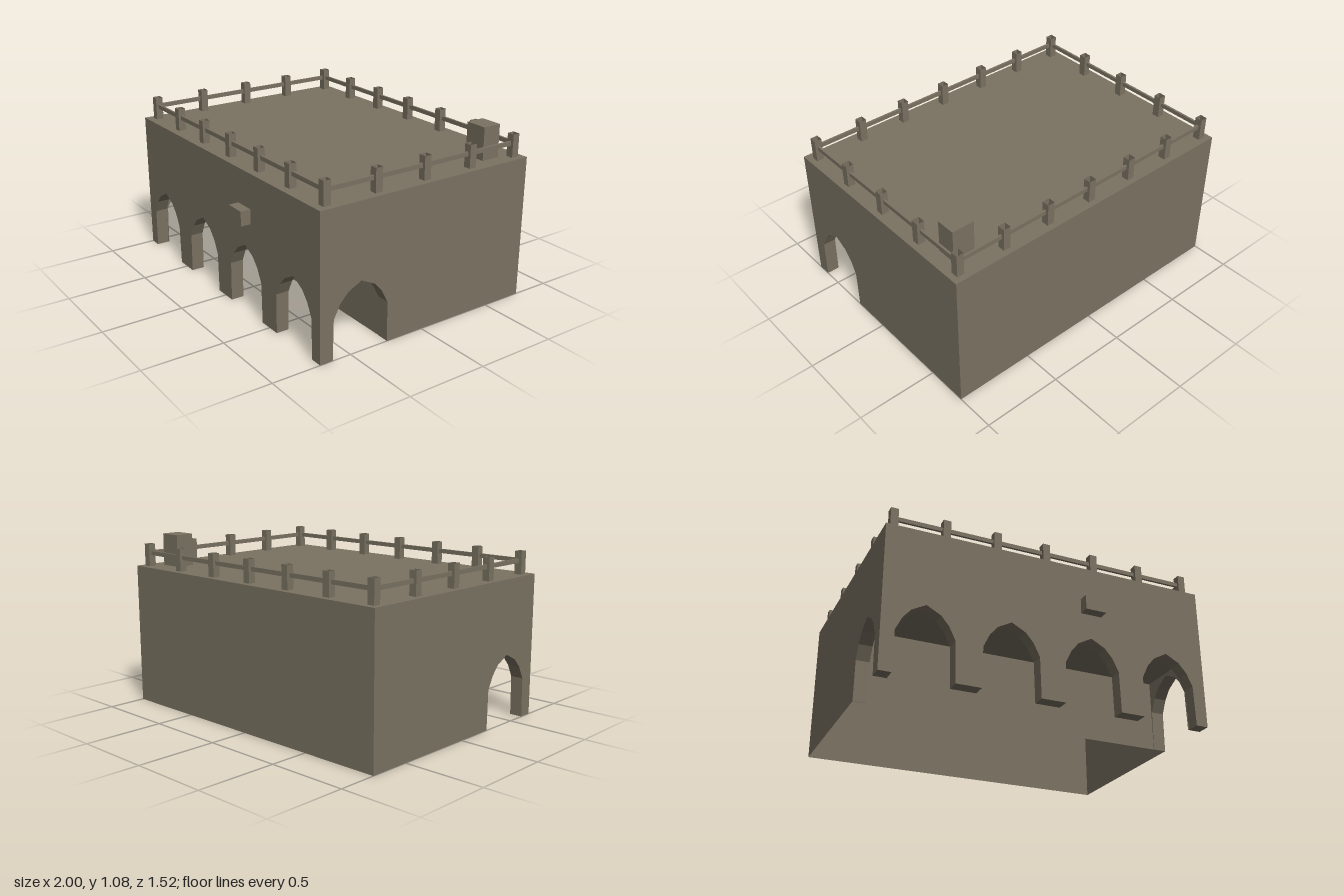
import * as THREE from 'three';

const TOP = 0.88, MID = 0.44, FRONT = 0.7, BACK = -0.76, INNER = 0.245, THICK = 0.08;

const stone = new THREE.MeshStandardMaterial({ color: 0x7b7362, side: THREE.DoubleSide });
stone.name = 'stone';

function add(parent, name, geometry, x = 0, y = 0, z = 0) {
  const mesh = new THREE.Mesh(geometry, stone);
  mesh.name = name;
  mesh.position.set(x, y, z);
  parent.add(mesh);
  return mesh;
}

// Box given by its limits on each axis
function addBox(parent, name, [x0, x1], [y0, y1], [z0, z1]) {
  return add(parent, name, new THREE.BoxGeometry(x1 - x0, y1 - y0, z1 - z0),
    (x0 + x1) / 2, (y0 + y1) / 2, (z0 + z1) / 2);
}

// Wall outline from a to b with pointed arches cut up from the ground
function archedShape(a, b, centres, half) {
  const profile = [[-1, 0], [-0.97, 0.245], [-0.75, 0.325], [-0.48, 0.38], [0, 0.425],
    [0.48, 0.38], [0.75, 0.325], [0.97, 0.245], [1, 0]];
  const points = [[a, 0]];
  for (const c of centres) for (const [u, v] of profile) points.push([c + u * half, v]);
  points.push([b, 0], [b, MID], [a, MID]);
  return new THREE.Shape(points.map(([x, y]) => new THREE.Vector2(x, y)));
}

function extrude(shape) {
  return new THREE.ExtrudeGeometry(shape, { depth: THICK, bevelEnabled: false });
}

export function createModel() {
  const model = new THREE.Group();
  model.name = 'arcadedHouse';

  // Thin outer shell, open underneath
  const shell = new THREE.Group();
  shell.name = 'shell';
  model.add(shell);
  const depth = FRONT - BACK, midZ = (FRONT + BACK) / 2;
  add(shell, 'roof', new THREE.PlaneGeometry(2, depth).rotateX(-Math.PI / 2), 0, TOP, midZ);
  add(shell, 'frontWall', new THREE.PlaneGeometry(2, TOP - MID), 0, (TOP + MID) / 2, FRONT);
  add(shell, 'backWall', new THREE.PlaneGeometry(2, TOP).rotateY(Math.PI), 0, TOP / 2, BACK);
  add(shell, 'innerWall', new THREE.PlaneGeometry(2, MID), 0, MID / 2, INNER);
  add(shell, 'arcadeCeiling', new THREE.PlaneGeometry(2, FRONT - INNER).rotateX(Math.PI / 2),
    0, MID, (FRONT + INNER) / 2);
  const side = new THREE.Shape([[BACK, 0], [INNER, 0], [INNER, MID], [FRONT, MID], [FRONT, TOP], [BACK, TOP]]
    .map(([z, y]) => new THREE.Vector2(z, y)));
  add(shell, 'rightWall', new THREE.ShapeGeometry(side).rotateY(-Math.PI / 2), -1);
  add(shell, 'leftWall', new THREE.ShapeGeometry(side).rotateY(-Math.PI / 2), 1);

  // Arcade: four arches in front, one at each end
  const arcade = new THREE.Group();
  arcade.name = 'arcade';
  model.add(arcade);
  add(arcade, 'frontArches', extrude(archedShape(-1, 1, [-0.75, -0.25, 0.25, 0.75], 0.175)), 0, 0, FRONT - THICK);
  const endZ = FRONT - THICK;
  for (const [name, x] of [['rightArch', -1 + THICK], ['leftArch', 1]]) {
    const shape = archedShape(INNER, endZ, [(INNER + endZ) / 2], (endZ - INNER) / 2 - 0.002);
    add(arcade, name, extrude(shape).rotateY(-Math.PI / 2), x);
  }

  // Railing: hollow square posts joined by rails
  const railing = new THREE.Group();
  railing.name = 'railing';
  model.add(railing);
  const X = 0.94, Z0 = -0.7, Z1 = 0.63;
  const postGeometry = new THREE.CylinderGeometry(0.0325, 0.0325, 0.17, 4, 1, true)
    .rotateY(Math.PI / 4).toNonIndexed();
  postGeometry.computeVertexNormals();
  const post = (x, z) => add(railing, 'post', postGeometry, x, 0.935, z);
  const gap = 0.014, r = 0.007, railY = [0.95, 0.976];
  const nx = 6, nz = 4, dx = 2 * X / nx, dz = (Z1 - Z0) / nz;
  for (const z of [Z0, Z1]) {
    for (let i = 0; i <= nx; i++) {
      const x = -X + i * dx;
      post(x, z);
      if (i < nx) addBox(railing, 'rail', [x + gap, x + dx - gap], railY, [z - r, z + r]);
    }
  }
  for (const x of [-X, X]) {
    for (let i = 0; i < nz; i++) {
      const z = Z0 + i * dz;
      if (i > 0) post(x, z);
      addBox(railing, 'rail', [x - r, x + r], railY, [z + gap, z + dz - gap]);
    }
  }

  // Roof block and the small box on the front wall
  addBox(model, 'chimney', [0.765, 0.905], [TOP, 1.08], [-0.62, -0.5]);
  addBox(model, 'wallBox', [0.19, 0.32], [0.577, 0.667], [FRONT, 0.763]);

  return model;
}
